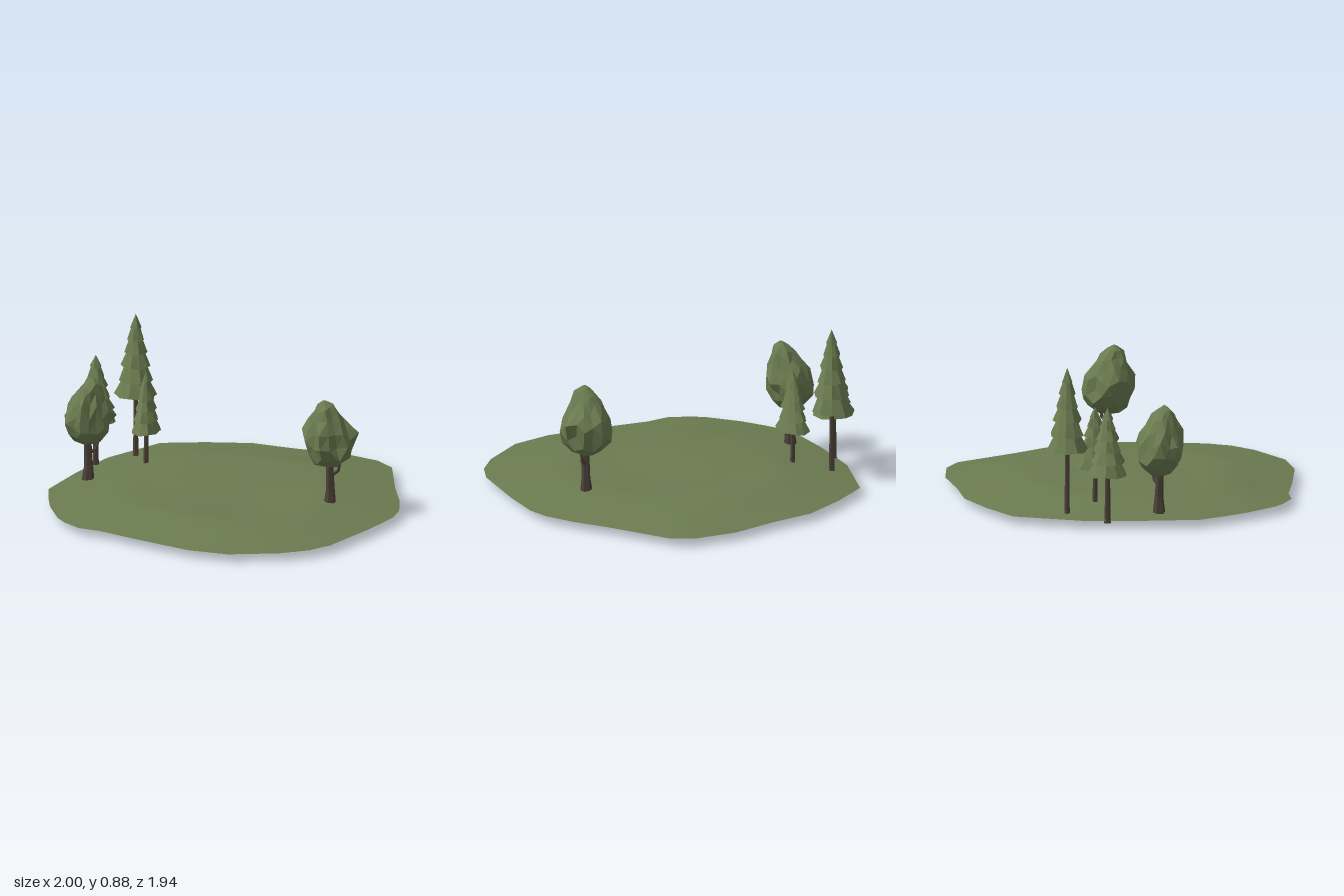
import * as THREE from 'three';

const foliage = new THREE.MeshStandardMaterial({ color: 0x6b7b50, side: THREE.DoubleSide });
foliage.name = 'mossGreen';
const bark = new THREE.MeshStandardMaterial({ color: 0x4c4037 });
bark.name = 'barkBrown';

// Faceted mesh: unshared vertices give one normal per face
function faceted(geometry, material, name) {
  const g = geometry.index ? geometry.toNonIndexed() : geometry;
  g.computeVertexNormals();
  const mesh = new THREE.Mesh(g, material);
  mesh.name = name;
  return mesh;
}

// Straight tapered limb between two points
function limb(a, b, r0, r1, sides, name) {
  const from = new THREE.Vector3(...a), to = new THREE.Vector3(...b);
  const dir = to.clone().sub(from);
  const mesh = faceted(new THREE.CylinderGeometry(r1, r0, dir.length(), sides), bark, name);
  mesh.position.copy(from).add(to).multiplyScalar(0.5);
  mesh.quaternion.setFromUnitVectors(new THREE.Vector3(0, 1, 0), dir.normalize());
  return mesh;
}

// Ground outline as [x, z], clockwise from above
const outline = [
  [-0.2, -0.975], [0.05, -0.965], [0.33, -0.975], [0.56, -0.92], [0.68, -0.83], [0.83, -0.48],
  [0.93, -0.28], [0.99, -0.11], [1, 0.02], [0.95, 0.26], [0.85, 0.61], [0.77, 0.735],
  [0.64, 0.84], [0.375, 0.96], [0.14, 0.965], [-0.2, 0.88], [-0.44, 0.81], [-0.57, 0.8],
  [-0.68, 0.73], [-0.74, 0.67], [-0.85, 0.495], [-0.91, 0.36], [-0.97, 0.2], [-0.93, -0.13],
  [-0.86, -0.45], [-0.68, -0.8], [-0.45, -0.9],
];

// Gentle mounds [x, z, height, width]
const mounds = [
  [-0.38, -0.5, 0.018, 0.25], [0.05, -0.6, 0.014, 0.22], [-0.2, 0.55, 0.012, 0.25],
  [0.55, -0.1, 0.008, 0.2], [-0.2, -0.05, 0.01, 0.2], [0.25, 0.2, -0.014, 0.25], [0.3, 0.6, 0.008, 0.15],
];

function makeGround() {
  const rings = 12, n = outline.length, pos = [0, 0, 0], idx = [];
  for (let r = 1; r <= rings; r++)
    for (const [x, z] of outline) pos.push(x * r / rings, r / rings, z * r / rings);
  for (let i = 0; i < n; i++) {
    const j = (i + 1) % n;
    idx.push(0, 1 + j, 1 + i);
    for (let r = 0; r < rings - 1; r++) {
      const a = 1 + r * n + i, b = 1 + r * n + j;
      idx.push(a, b, b + n, a, b + n, a + n);
    }
  }
  // Replace the stored ring fraction by the height there
  for (let k = 0; k < pos.length; k += 3) {
    const x = pos[k], t = pos[k + 1], z = pos[k + 2];
    const rise = Math.min(1, (1 - t) / 0.4);
    let h = 0.047;
    for (const [mx, mz, mh, w] of mounds)
      h += mh * Math.exp(-((x - mx) ** 2 + (z - mz) ** 2) / (w * w));
    pos[k + 1] = 0.05 + h * rise;
  }
  const g = new THREE.BufferGeometry();
  g.setAttribute('position', new THREE.Float32BufferAttribute(pos, 3));
  g.setIndex(idx);
  g.computeVertexNormals();
  const mesh = new THREE.Mesh(g, foliage);
  mesh.name = 'ground';
  return mesh;
}

// Pine: zigzag lathe of tiers with uneven rims on a thin trunk
function makePine({ x, z, rx, rz, foot, skirt, top, trunk, seed }) {
  const tree = new THREE.Group();
  tree.name = 'pineTree';
  const tiers = 6, sides = 10, H = top - skirt;
  const rimR = j => 1 - 0.73 * j / (tiers - 1);
  const rimY = j => skirt + H * (0.19 * j - 0.005 * j * j);
  const profile = [new THREE.Vector2(0, skirt + 0.012)];
  for (let j = 0; j < tiers; j++) {
    profile.push(new THREE.Vector2(rimR(j), rimY(j)));
    if (j < tiers - 1) profile.push(new THREE.Vector2(rimR(j + 1) * 0.72, rimY(j + 1) + 0.012));
  }
  profile.push(new THREE.Vector2(0, top));
  const g = new THREE.LatheGeometry(profile, sides);
  const p = g.attributes.position;
  for (let k = 0; k < p.count; k++) {
    const side = Math.floor(k / profile.length) % sides, row = k % profile.length;
    const rim = row % 2 === 1 && row < profile.length - 1;
    const wave = rim ? Math.sin(side * 2.4 + row * 1.7 + seed) : 0;
    const s = 0.96 + 0.06 * wave;
    p.setXYZ(k, p.getX(k) * rx * s, p.getY(k) + 0.006 * wave, p.getZ(k) * rz * s);
  }
  tree.add(faceted(g, foliage, 'pineNeedles'));
  tree.add(limb([0, foot, 0], [0, skirt + H * 0.5, 0], trunk * 1.15, trunk * 0.8, 6, 'pineTrunk'));
  tree.add(limb([0, foot, 0], [0, foot + 0.03, 0], trunk * 1.4, trunk * 1.1, 6, 'pineTrunkFoot'));
  tree.position.set(x, 0, z);
  return tree;
}

// Crown radius by height fraction
const crownProfile = [[0, 0], [0.05, 0.07], [0.16, 0.112], [0.32, 0.135], [0.5, 0.14],
  [0.62, 0.115], [0.75, 0.085], [0.9, 0.06], [1, 0]];
function crownRadius(u) {
  for (let i = 1; i < crownProfile.length; i++) {
    const [u0, r0] = crownProfile[i - 1], [u1, r1] = crownProfile[i];
    if (u <= u1) return r0 + (r1 - r0) * (u - u0) / (u1 - u0);
  }
  return 0;
}

// Broadleaf: lumpy faceted crown on a flared trunk with a side branch
function makeBroadleaf({ x, foot, bottom, top, lean, seed, scale }) {
  const tree = new THREE.Group();
  tree.name = 'broadleafTree';
  const g = new THREE.IcosahedronGeometry(1, 2);
  const p = g.attributes.position, v = new THREE.Vector3();
  for (let k = 0; k < p.count; k++) {
    v.fromBufferAttribute(p, k).normalize();
    const u = Math.min(1, Math.max(0, (v.y + 1) / 2));
    const flat = Math.hypot(v.x, v.z) || 1;
    const lump = 1 + 0.13 * Math.sin(7 * v.x + 4 * v.y + seed) * Math.cos(6 * v.z - 3 * v.y + seed)
      + 0.07 * Math.sin(13 * v.z + 9 * v.x + seed * 2);
    const r = crownRadius(u) * lump * scale / flat;
    const shift = lean * u * u;
    const bump = 0.02 * Math.sin(8 * v.x - 6 * v.z + seed) * (1 - v.y * v.y);
    p.setXYZ(k, v.x * r + shift, bottom + (top - bottom) * u + bump, v.z * r + 0.04 * u * u);
  }
  tree.add(faceted(g, foliage, 'leafCrown'));
  const mid = foot + 0.09;
  tree.add(limb([0, foot, 0], [0.004, mid, 0], 0.036, 0.025, 6, 'trunkBase'));
  tree.add(limb([0.004, mid - 0.004, 0], [0, bottom + 0.1, 0.01], 0.025, 0.018, 6, 'trunk'));
  tree.add(limb([0.01, bottom - 0.045, 0], [0.045, bottom - 0.02, -0.02], 0.011, 0.009, 5, 'branch'));
  tree.add(limb([0.043, bottom - 0.024, -0.019], [0.06, bottom + 0.06, -0.025], 0.01, 0.006, 5, 'branchTip'));
  tree.position.x = x;
  return tree;
}

export function createModel() {
  const model = new THREE.Group();
  model.name = 'meadowWithTrees';
  model.add(makeGround());
  const pines = [
    { x: -0.713, z: -0.5, rx: 0.12, rz: 0.115, foot: 0.05, skirt: 0.42, top: 0.89, trunk: 0.013, seed: 0 },
    { x: -0.877, z: -0.305, rx: 0.123, rz: 0.115, foot: 0.035, skirt: 0.31, top: 0.69, trunk: 0.015, seed: 2 },
    { x: -0.583, z: -0.315, rx: 0.08, rz: 0.118, foot: 0.005, skirt: 0.28, top: 0.63, trunk: 0.013, seed: 4 },
  ];
  for (const pine of pines) model.add(makePine(pine));
  model.add(makeBroadleaf({ x: -0.81, foot: 0.06, bottom: 0.265, top: 0.67, lean: 0.04, seed: 1.3, scale: 0.95 }));
  model.add(makeBroadleaf({ x: 0.62, foot: 0.075, bottom: 0.295, top: 0.7, lean: -0.015, seed: 4.1, scale: 1.03 }));
  return model;
}
